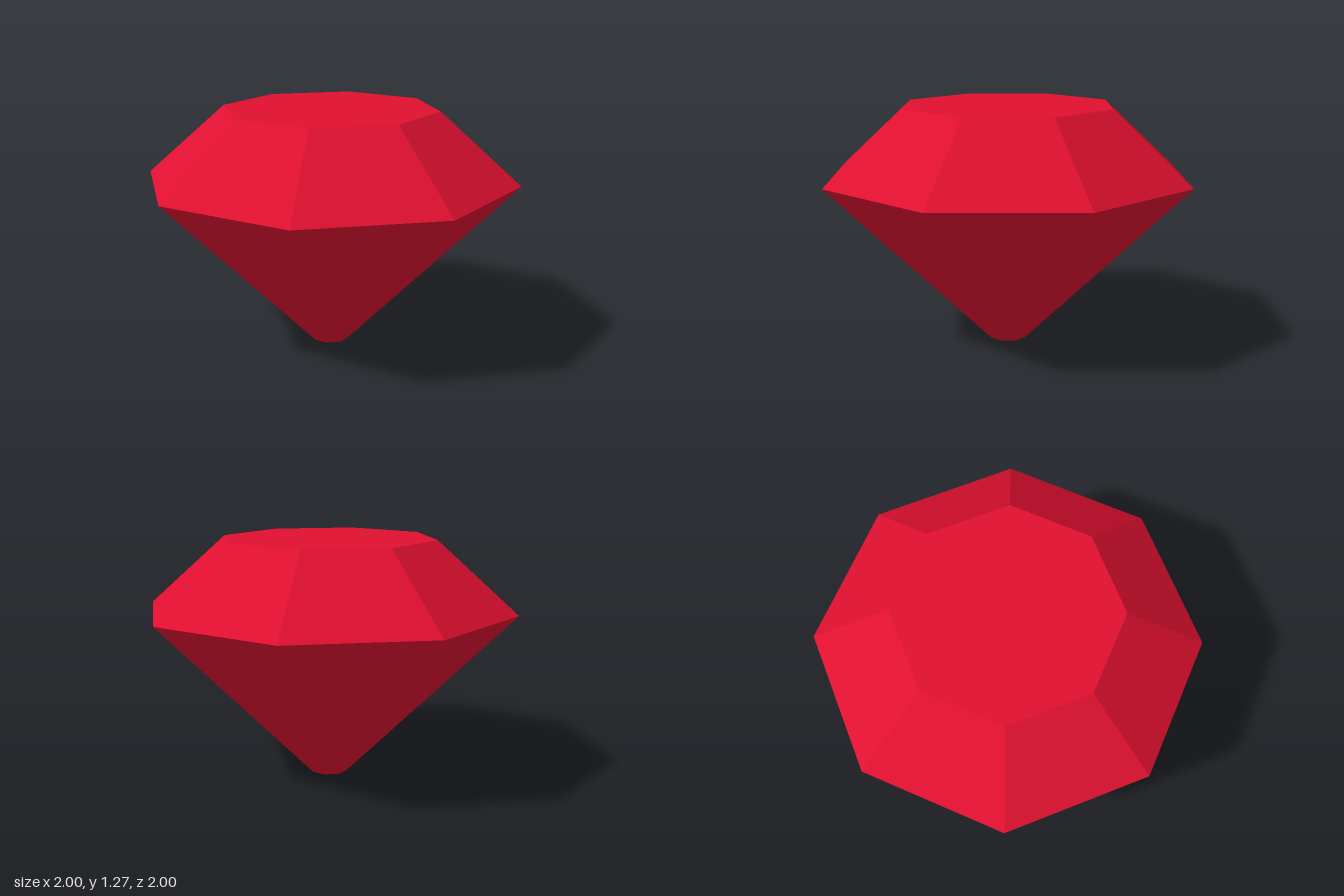
import * as THREE from 'three';

const SIDES = 8;
const CULET = { r: 0.1, y: 0 };
const GIRDLE = { r: 1, y: 0.895 };
const TABLE = { r: 0.575, y: 1.272 };

export function createModel() {
  const gem = new THREE.Group();
  gem.name = 'gem';
  const red = new THREE.MeshStandardMaterial({ color: 0xe01030, flatShading: true });
  red.name = 'ruby red';

  // Ring of sloping facets between two octagons
  const facets = (name, low, high) => {
    const height = high.y - low.y;
    const geometry = new THREE.CylinderGeometry(high.r, low.r, height, SIDES, 1, true);
    const mesh = new THREE.Mesh(geometry, red);
    mesh.name = name;
    mesh.position.y = low.y + height / 2;
    gem.add(mesh);
  };

  // Flat octagon closing one end
  const cap = (name, ring, tilt) => {
    const mesh = new THREE.Mesh(new THREE.CircleGeometry(ring.r, SIDES), red);
    mesh.name = name;
    mesh.rotation.x = tilt;
    mesh.position.y = ring.y;
    gem.add(mesh);
  };

  facets('pavilion', CULET, GIRDLE);
  facets('crown', GIRDLE, TABLE);
  cap('table', TABLE, -Math.PI / 2);
  cap('culet', CULET, Math.PI / 2);

  return gem;
}
